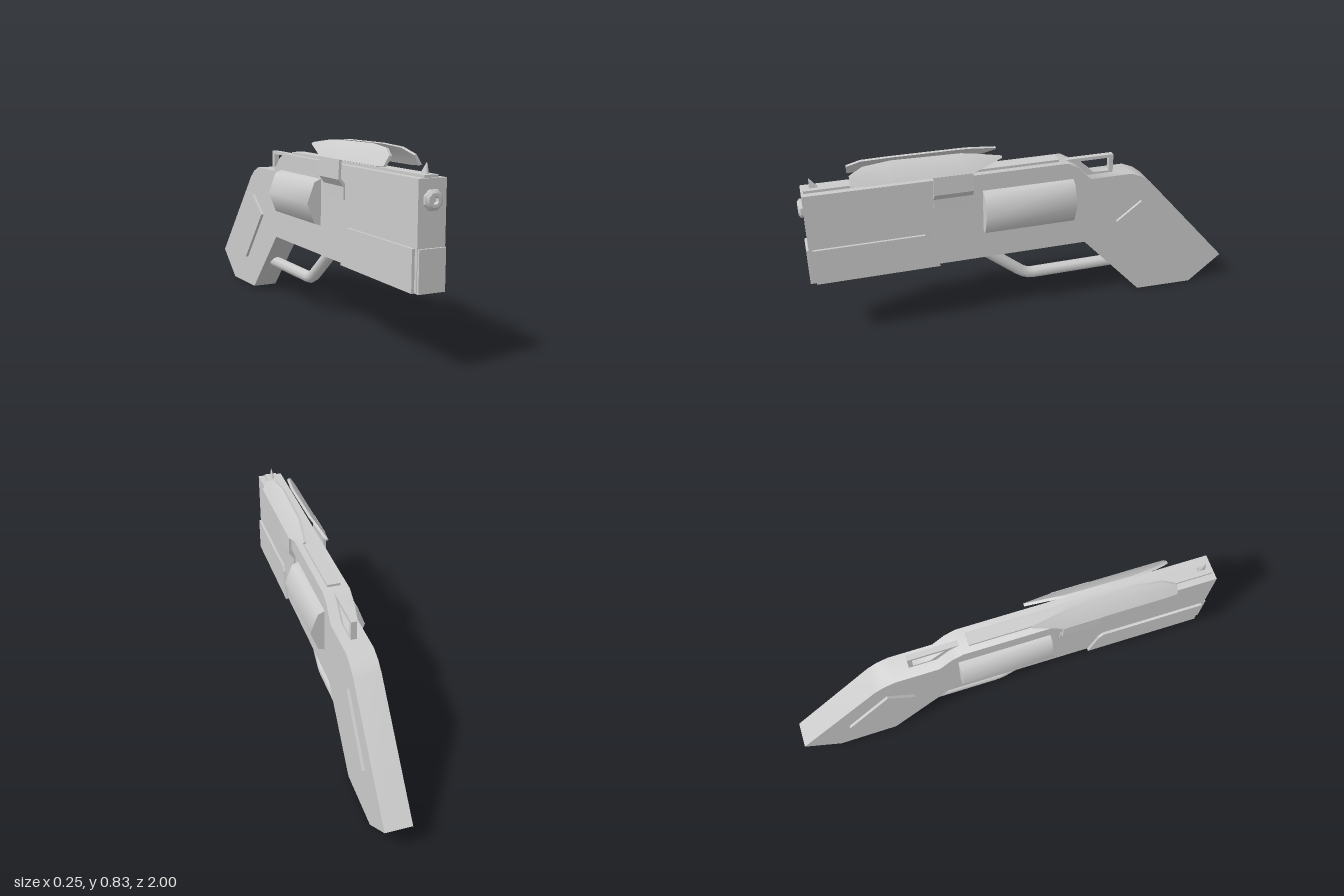
import * as THREE from 'three';
import { toCreasedNormals } from 'three/addons/utils/BufferGeometryUtils.js';

const material = new THREE.MeshStandardMaterial({ color: 0xcccccc });
const thinMaterial = new THREE.MeshStandardMaterial({ color: 0xcccccc, side: THREE.DoubleSide });
const toVectors = (pts) => pts.map(([a, b]) => new THREE.Vector2(a, b));

export function createModel() {
  const model = new THREE.Group();

  function add(name, geometry, mat = material) {
    const mesh = new THREE.Mesh(geometry, mat);
    mesh.name = name;
    model.add(mesh);
    return mesh;
  }

  // Side outline given as [z, y], extruded across x between x0 and x1
  function sideExtrude(points, x0, x1, hole) {
    const shape = new THREE.Shape(toVectors(points));
    if (hole) shape.holes.push(new THREE.Path(toVectors(hole)));
    const g = new THREE.ExtrudeGeometry(shape, { depth: x1 - x0, bevelEnabled: false });
    g.rotateY(-Math.PI / 2).translate(x1, 0, 0);
    return toCreasedNormals(g, 0.9);
  }

  // Front outline given as [x, y], extruded along z between z0 and z1
  function frontExtrude(points, z0, z1, crease = 0.6) {
    const g = new THREE.ExtrudeGeometry(new THREE.Shape(toVectors(points)), { depth: z1 - z0, bevelEnabled: false });
    return toCreasedNormals(g.translate(0, 0, z0), crease);
  }

  // Barrel housing, frame and raked grip in one outline
  add('frameAndGrip', sideExtrude([
    [0.98, 0.32], [0.98, 0.733], [-0.18, 0.733], [-0.23, 0.705], [-0.29, 0.642], [-0.49, 0.642],
    [-0.545, 0.62], [-0.59, 0.585], [-1, 0.13], [-0.84, 0.003], [-0.56, 0.01], [-0.27, 0.32],
  ], -0.06, 0.06));

  // Fore-end: wider sleeve with a slanted rear and narrowed front
  const foreEnd = sideExtrude([[0.99, 0.315], [0.99, 0.48], [0.48, 0.48], [0.46, 0.455], [0.42, 0.315]], -0.072, 0.072);
  const pos = foreEnd.attributes.position;
  for (let i = 0; i < pos.count; i++) if (pos.getZ(i) > 0.98) pos.setX(i, pos.getX(i) * 0.8);
  foreEnd.computeVertexNormals();
  add('foreEnd', foreEnd);
  add('foreEndSleeve', sideExtrude([[0.965, 0.315], [0.965, 0.48], [0.48, 0.48], [0.46, 0.455], [0.42, 0.315]], -0.072, 0.072));

  // Six-sided drum through the frame
  add('drum', frontExtrude([
    [0.125, 0.55], [0.09, 0.642], [0.06, 0.655], [-0.06, 0.655], [-0.09, 0.642],
    [-0.125, 0.55], [-0.09, 0.46], [-0.06, 0.45], [0.06, 0.45], [0.09, 0.46],
  ], -0.205, 0.215, 0.9));

  // Octagonal muzzle ring with a recessed bore
  const muzzle = new THREE.LatheGeometry(
    toVectors([[0.0, 0.96], [0.016, 0.96], [0.016, 1], [0.028, 1], [0.041, 0.99], [0.041, 0.96]]), 8, Math.PI / 8);
  muzzle.rotateX(Math.PI / 2).scale(1, 1, 1).translate(0, 0.655, 0);
  add('muzzle', toCreasedNormals(muzzle, 0.5), thinMaterial);

  // Sighting rail and front sight
  add('topRail', sideExtrude([[0.97, 0.72], [0.97, 0.744], [-0.145, 0.744], [-0.145, 0.72]], -0.03, 0.03));
  const sight = new THREE.CylinderGeometry(0.001, 0.011, 0.045, 4, 1);
  sight.rotateY(Math.PI / 4).scale(1, 1, 2.4);
  const sp = sight.attributes.position;
  for (let i = 0; i < sp.count; i++) if (sp.getY(i) > 0) sp.setZ(i, sp.getZ(i) + 0.015);
  sight.computeVertexNormals();
  add('frontSight', sight).position.set(0, 0.763, 0.925);

  // Rear loop with an open window
  add('rearLoop', sideExtrude(
    [[-0.18, 0.73], [-0.415, 0.73], [-0.415, 0.635], [-0.29, 0.635]], -0.013, 0.013,
    [[-0.25, 0.715], [-0.395, 0.715], [-0.395, 0.652], [-0.32, 0.652]]));

  // Trigger guard
  const guard = new THREE.CurvePath();
  const gp = [[0.25, 0.36], [0.035, 0.19], [-0.03, 0.164], [-0.48, 0.164]].map(([z, y]) => new THREE.Vector3(0, y, z));
  guard.add(new THREE.LineCurve3(gp[0], gp[1]));
  guard.add(new THREE.QuadraticBezierCurve3(gp[1], new THREE.Vector3(0, 0.164, 0.002), gp[2]));
  guard.add(new THREE.LineCurve3(gp[2], gp[3]));
  add('triggerGuard', new THREE.TubeGeometry(guard, 32, 0.028, 8));

  // Curved side blade: a thin folded sheet whose height changes along z
  function bladeGeometry(side) {
    const stations = [ // z, lower y, upper y
      [0.78, 0.76, 0.8], [0.72, 0.757, 0.825], [0.6, 0.757, 0.833], [0.3, 0.757, 0.83],
      [0.25, 0.76, 0.826], [0.125, 0.8, 0.808],
    ];
    const xAt = (y) => (y < 0.82 ? 0.088 - (y - 0.755) * 0.62 : 0.048 - (y - 0.82) * 1.7);
    const verts = [], index = [];
    for (const [z, lo, hi] of stations) {
      const mid = Math.min(0.82, (lo + 2 * hi) / 3);
      const outer = [lo, mid, hi].map((y) => [xAt(y), y]);
      const inner = [hi, mid, lo].map((y) => [xAt(y) - 0.012, y - 0.003]);
      for (const [x, y] of [...outer, ...inner]) verts.push(side * x, y, z);
    }
    for (let s = 0; s < stations.length - 1; s++) {
      for (let k = 0; k < 6; k++) {
        const a = s * 6 + k, b = s * 6 + (k + 1) % 6;
        index.push(a, a + 6, b, b, a + 6, b + 6);
      }
    }
    for (const o of [0, (stations.length - 1) * 6]) {
      const ends = [0, 1, 4, 0, 4, 5, 1, 2, 3, 1, 3, 4].map((i) => i + o);
      index.push(...(o ? ends.reverse() : ends));
    }
    if (side < 0) index.reverse();
    const g = new THREE.BufferGeometry();
    g.setAttribute('position', new THREE.Float32BufferAttribute(verts, 3));
    g.setIndex(index);
    return toCreasedNormals(g, 0.6);
  }

  // Parts repeated on both sides
  for (const [label, s] of [['left', 1], ['right', -1]]) {
    const bracket = [
      [0.055, 0.59], [0.066, 0.59], [0.067, 0.645], [0.09, 0.675], [0.088, 0.758],
      [0.076, 0.758], [0.079, 0.68], [0.055, 0.65],
    ].map(([x, y]) => [s * x, y]);
    add(label + 'BladeBracket', frontExtrude(bracket, 0.26, 0.435));
    add(label + 'Blade', bladeGeometry(s), thinMaterial);
    const panel = [[-0.425, 0.41], [-0.545, 0.5], [-0.76, 0.24], [-0.645, 0.152]];
    add(label + 'GripPanel', sideExtrude(panel, s > 0 ? 0.05 : -0.073, s > 0 ? 0.073 : -0.05));
  }
  return model;
}
